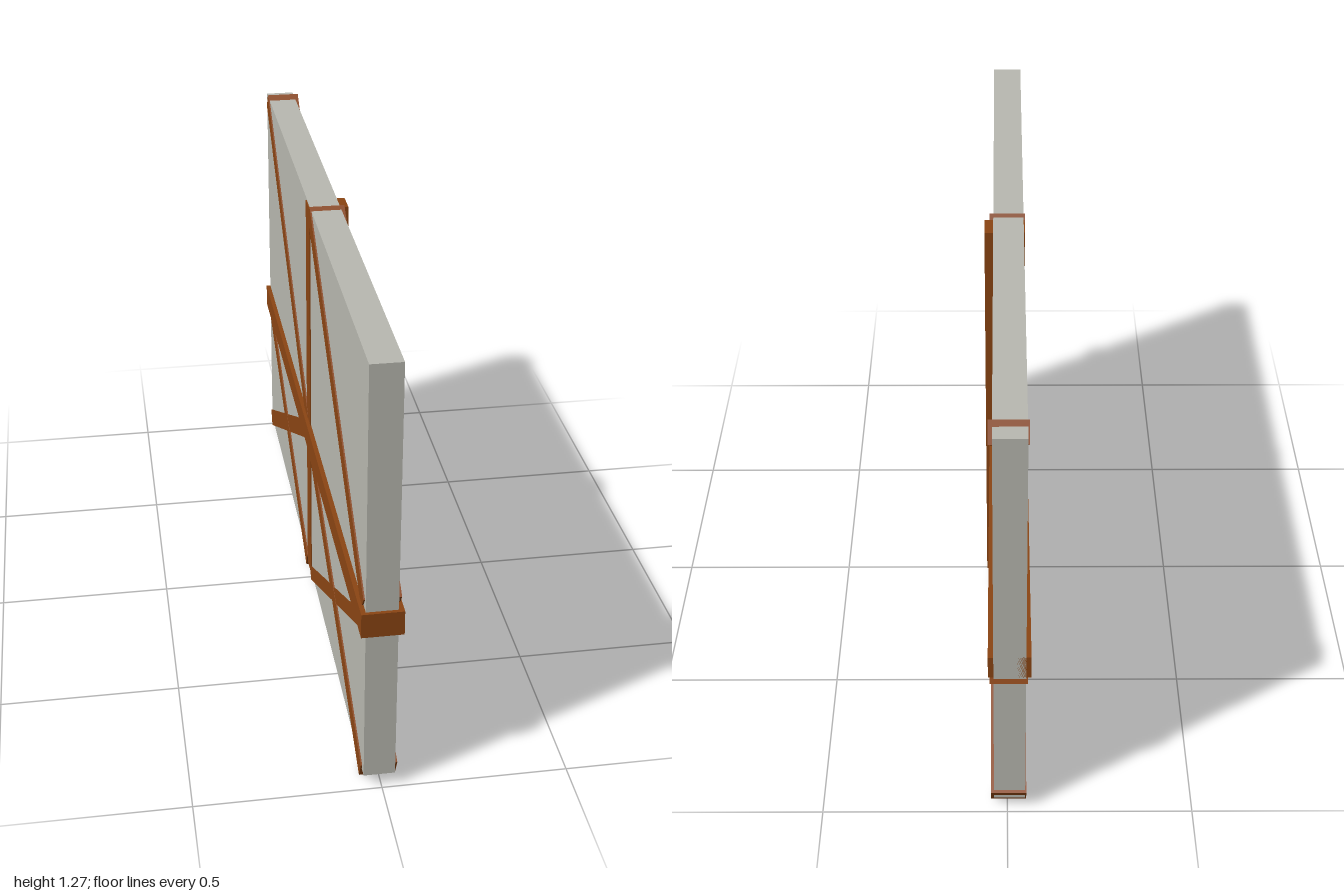
import * as THREE from 'three';

const plaster = new THREE.MeshStandardMaterial({ color: 0xb8b8b0 });
const wood = new THREE.MeshStandardMaterial({ color: 0x8b4513 });

// Box given by its limits on each axis
function block(name, material, [x0, x1], [y0, y1], [z0, z1]) {
  const mesh = new THREE.Mesh(new THREE.BoxGeometry(x1 - x0, y1 - y0, z1 - z0), material);
  mesh.name = name;
  mesh.position.set((x0 + x1) / 2, (y0 + y1) / 2, (z0 + z1) / 2);
  return mesh;
}

// Slanted timber through the wall, between two [z, y] points
function brace(name, [z0, y0], [z1, y1], width, [x0, x1] = [-0.052, 0.046]) {
  const length = Math.hypot(z1 - z0, y1 - y0);
  const mesh = new THREE.Mesh(new THREE.BoxGeometry(x1 - x0, width, length), wood);
  mesh.name = name;
  mesh.position.set((x0 + x1) / 2, (y0 + y1) / 2, (z0 + z1) / 2);
  mesh.rotation.x = -Math.atan2(y1 - y0, z1 - z0);
  return mesh;
}

export function createModel() {
  const group = new THREE.Group();
  group.name = 'timberFramedWall';

  // Wall infill
  group.add(block('wallPanel', plaster, [-0.048, 0.036], [0.043, 1.258], [-0.983, 0.99]));

  // Upright post and horizontal rail
  group.add(block('centrePost', wood, [-0.051, 0.06], [0.038, 1.254], [-0.043, 0.027]));
  group.add(block('middleRail', wood, [-0.061, 0.05], [0.495, 0.565], [-0.983, 1.0]));

  // Upper braces
  group.add(brace('upperFrontBrace', [0.96, 0.57], [0.024, 1.243], 0.058));
  group.add(brace('upperBackBrace', [-0.03, 0.55], [-0.944, 1.248], 0.058));

  // Lower crossed braces
  group.add(brace('lowerFrontBrace', [0.955, 0.032], [0.0, 0.505], 0.06));
  group.add(brace('lowerFrontCrossBrace', [0.95, 0.51], [0.02, 0.035], 0.043, [-0.051, 0.043]));
  group.add(brace('lowerBackBrace', [-0.056, 0.032], [-0.976, 0.503], 0.056));
  group.add(brace('lowerBackCrossBrace', [-0.03, 0.52], [-0.978, 0.043], 0.056, [-0.051, 0.044]));

  return group;
}
